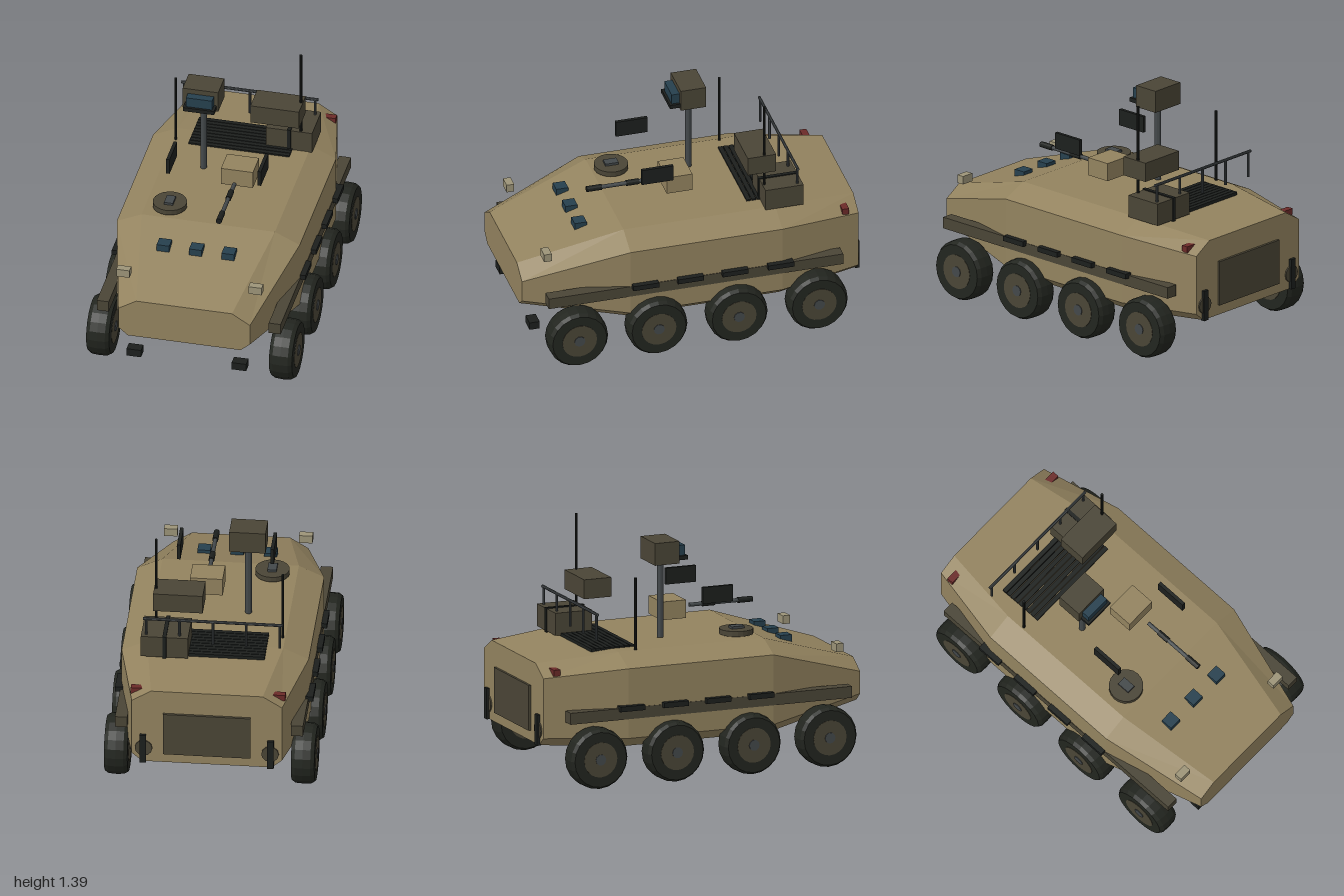
import * as THREE from 'three';

const mat = (color) => new THREE.MeshStandardMaterial({ color, flatShading: true });
const TAN = mat(0x93835f), BROWN = mat(0x4a4536), BLACK = mat(0x1c1f1d), TYRE = mat(0x22251f),
  STEEL = mat(0x43484a), GLASS = mat(0x26404e), RED = mat(0x6b2a28), LAMP = mat(0x9c9478);

export function createModel() {
  const model = new THREE.Group();

  const add = (name, geometry, material, x = 0, y = 0, z = 0) => {
    const mesh = new THREE.Mesh(geometry, material);
    mesh.name = name;
    mesh.position.set(x, y, z);
    model.add(mesh);
    return mesh;
  };
  // Box from its extents along each axis
  const box = (name, material, [x0, x1], [y0, y1], [z0, z1]) =>
    add(name, new THREE.BoxGeometry(x1 - x0, y1 - y0, z1 - z0), material,
      (x0 + x1) / 2, (y0 + y1) / 2, (z0 + z1) / 2);
  // Upright rod, and rod along z
  const post = (name, material, r, x, z, y0, y1, sides = 10) =>
    add(name, new THREE.CylinderGeometry(r, r, y1 - y0, sides), material, x, (y0 + y1) / 2, z);
  const rodZ = (name, material, r, x, y, z0, z1) => {
    const m = add(name, new THREE.CylinderGeometry(r, r, z1 - z0, 12), material, x, y, (z0 + z1) / 2);
    m.rotation.x = Math.PI / 2;
    return m;
  };

  add('hull', hullGeometry(), TAN);

  // Wheels: tyre profile turned around the axle, with rim and hub through it
  const tyreProfile = [[0.09, -0.067], [0.16, -0.067], [0.174, -0.045], [0.177, 0],
    [0.174, 0.045], [0.16, 0.067], [0.09, 0.067]].map(([r, h]) => new THREE.Vector2(r, h));
  const tyre = new THREE.LatheGeometry(tyreProfile, 20);
  const rim = new THREE.CylinderGeometry(0.102, 0.102, 0.138, 20);
  const hub = new THREE.CylinderGeometry(0.032, 0.032, 0.146, 10);
  for (const side of [-1, 1]) {
    for (const z of [0.72, 0.25, -0.225, -0.7]) {
      const wheel = new THREE.Group();
      wheel.name = 'wheel';
      for (const [name, g, m] of [['tyre', tyre, TYRE], ['rim', rim, BROWN], ['hub', hub, STEEL]]) {
        const part = new THREE.Mesh(g, m);
        part.name = name;
        wheel.add(part);
      }
      wheel.rotation.z = Math.PI / 2;
      wheel.position.set(side * 0.535, 0.177, z);
      model.add(wheel);
    }
  }

  // Parts mirrored on both sides
  for (const s of [-1, 1]) {
    const span = (a, b) => (s > 0 ? [a, b] : [-b, -a]);
    box('sideRail', BROWN, span(0.468, 0.538), [0.383, 0.45], [-0.86, 0.885]);
    for (const z of [0.315, 0.05, -0.215, -0.485])
      box('sideStep', BLACK, span(0.51, 0.567), [0.435, 0.465], [z - 0.076, z + 0.076]);
    box('headlight', LAMP, span(0.348, 0.425), [0.63, 0.678], [0.835, 0.88]);
    box('tailLight', RED, span(0.372, 0.442), [0.65, 0.687], [-0.922, -0.882]);
    box('towLug', BLACK, span(0.265, 0.35), [0.14, 0.186], [0.885, 0.945]);
    rodZ('rearDisc', BROWN, 0.05, s * 0.362, 0.33, -0.99, -0.975);
    box('rearBracket', BLACK, span(0.347, 0.383), [0.24, 0.42], [-1, -0.975]);
  }
  box('rearDoor', BROWN, [-0.25, 0.25], [0.3, 0.565], [-0.997, -0.975]);

  // Driver's periscopes
  for (const x of [-0.21, -0.02, 0.17])
    box('periscope', GLASS, [x - 0.037, x + 0.037], [0.67, 0.714], [0.565, 0.636]);

  // Roof hatch
  post('hatch', BROWN, 0.098, -0.25, 0.29, 0.754, 0.785, 20);
  box('hatchSight', STEEL, [-0.276, -0.224], [0.78, 0.799], [0.252, 0.33]);

  // Sensor mast
  post('mast', STEEL, 0.019, -0.155, -0.14, 0.75, 1.2, 12);
  box('sensorHead', BROWN, [-0.26, -0.052], [1.195, 1.325], [-0.217, -0.067]);
  box('sensorWindow', GLASS, [-0.23, -0.077], [1.23, 1.294], [-0.08, -0.02]);
  box('sensorShelf', BLACK, [-0.245, -0.062], [1.21, 1.234], [-0.08, -0.006]);

  // Remote turret and its barrel
  box('turretBox', TAN, [0, 0.187], [0.808, 0.914], [-0.067, 0.085]);
  rodZ('barrel', STEEL, 0.012, 0.093, 0.86, 0.145, 0.53);
  rodZ('barrelSleeve', BLACK, 0.017, 0.093, 0.86, 0.225, 0.3);
  rodZ('muzzle', BLACK, 0.017, 0.093, 0.86, 0.445, 0.535);
  for (const x of [-0.27, 0.265])
    box('sidePanel', BLACK, [x - 0.01, x + 0.01], [0.95, 1.046], [0.07, 0.258]);

  // Engine grille slats
  for (let i = 0; i < 9; i++) {
    const z = -0.37 - i * 0.0305;
    box('grilleSlat', BLACK, [-0.295, 0.295], [0.73, 0.754], [z - 0.013, z + 0.013]);
  }

  // Stowage boxes and strap
  box('lowerStowage', BROWN, [0.14, 0.41], [0.742, 0.873], [-0.662, -0.436]);
  box('stowageStrap', BLACK, [0.264, 0.286], [0.736, 0.879], [-0.668, -0.43]);
  box('upperStowage', BROWN, [0.07, 0.354], [0.957, 1.07], [-0.515, -0.347]);

  // Rear roof rail
  const rail = add('roofRail', new THREE.CylinderGeometry(0.009, 0.009, 0.8, 8), STEEL, 0, 0.975, -0.632);
  rail.rotation.z = Math.PI / 2;
  for (const x of [-0.382, -0.191, 0, 0.191, 0.382])
    post('railPost', STEEL, 0.008, x, -0.632, 0.825, 0.975, 8);

  // Whip antennas
  post('antenna', BLACK, 0.008, 0.342, -0.448, 0.745, 1.395, 8);
  post('antenna', BLACK, 0.008, -0.376, -0.388, 0.74, 1.165, 8);

  return model;
}

// Octagonal sections joined front to back
function hullGeometry() {
  // z, top half width, side half width, bottom half width, top, shoulder, lower edge, bottom
  const sections = [
    [1, 0.28, 0.385, 0.33, 0.56, 0.495, 0.365, 0.318],
    [0.4, 0.39, 0.535, 0.46, 0.745, 0.677, 0.27, 0.21],
    [-0.5, 0.39, 0.535, 0.46, 0.745, 0.677, 0.27, 0.21],
    [-0.982, 0.32, 0.43, 0.37, 0.708, 0.64, 0.29, 0.24],
  ];
  const positions = sections.flatMap(([z, t, w, b, top, sh, lo, bot]) =>
    [[t, top], [-t, top], [-w, sh], [-w, lo], [-b, bot], [b, bot], [w, lo], [w, sh]]
      .flatMap(([x, y]) => [x, y, z]));
  const index = [];
  for (let i = 0; i < 3; i++) {
    for (let j = 0; j < 8; j++) {
      const a = i * 8 + j, b = i * 8 + (j + 1) % 8;
      index.push(a, a + 8, b + 8, a, b + 8, b);
    }
  }
  for (let j = 1; j < 7; j++) index.push(0, j, j + 1, 24, 25 + j, 24 + j);
  const indexed = new THREE.BufferGeometry();
  indexed.setAttribute('position', new THREE.Float32BufferAttribute(positions, 3));
  indexed.setIndex(index);
  const geometry = indexed.toNonIndexed();
  geometry.computeVertexNormals();
  return geometry;
}
